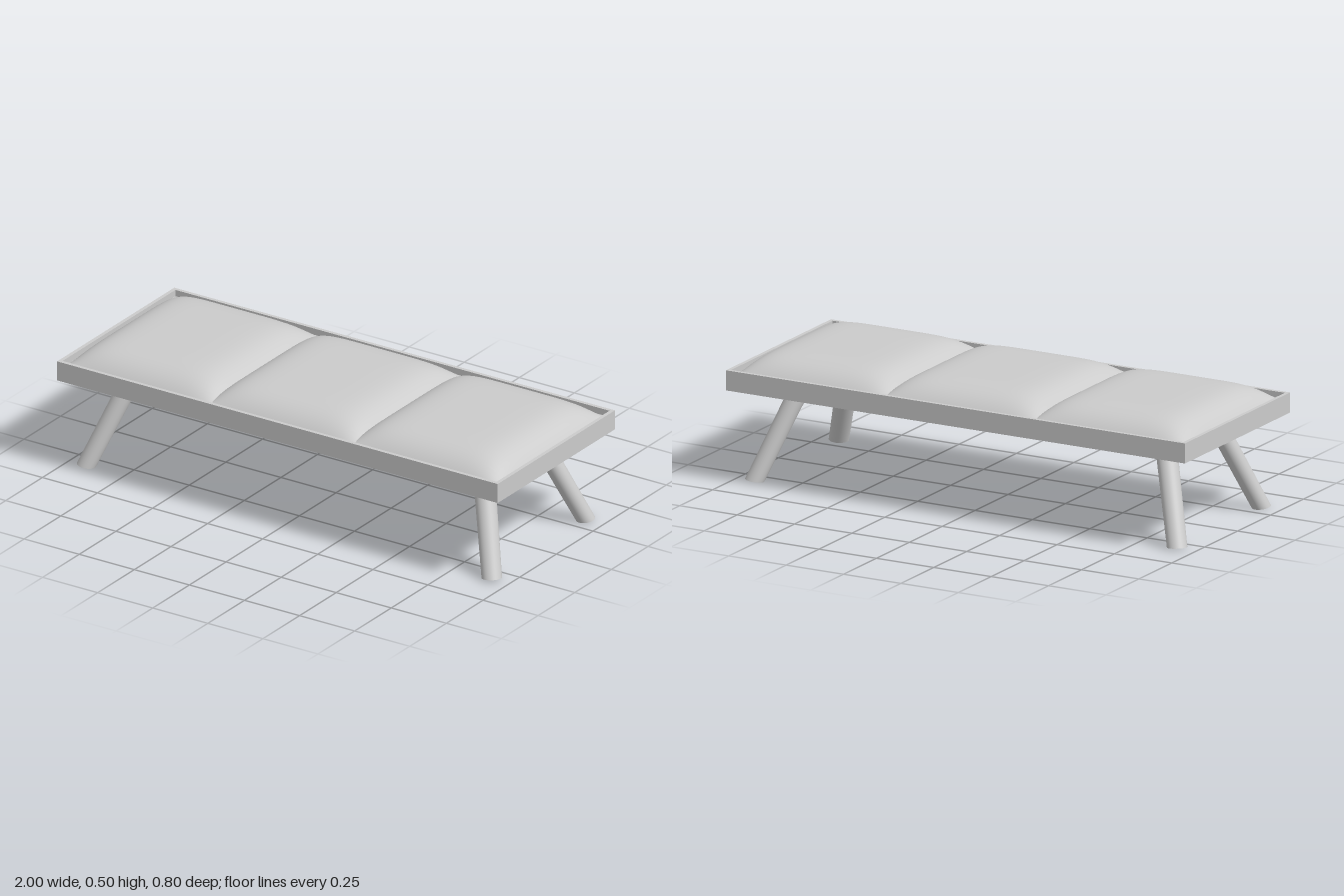
import * as THREE from 'three';

const material = new THREE.MeshStandardMaterial({ color: 0xcccccc });
const BASE = 0.367, RIM = 0.446, FLOOR = 0.42, TOP = 0.503, WALL = 0.015;

function addMesh(parent, name, geometry) {
  const mesh = new THREE.Mesh(geometry, material);
  mesh.name = name;
  parent.add(mesh);
  return mesh;
}

function rectangle(PathType, hx, hy) {
  return new PathType([[-hx, -hy], [hx, -hy], [hx, hy], [-hx, hy]].map(([x, y]) => new THREE.Vector2(x, y)));
}

// Puffed cushion: flat in the middle, rolling down to its edges; seam sides stay a little higher
function cushionGeometry(x0, x1, hz, seamLeft, seamRight) {
  const geometry = new THREE.PlaneGeometry(2, 2, 40, 32).rotateX(-Math.PI / 2);
  const p = geometry.attributes.position;
  const puff = (t, floor) => floor + (1 - floor) * (1 - Math.abs(t) ** 6);
  for (let i = 0; i < p.count; i++) {
    const u = Math.sin(p.getX(i) * Math.PI / 2), v = Math.sin(p.getZ(i) * Math.PI / 2);
    const seam = u < 0 ? seamLeft : seamRight;
    const y = FLOOR + (TOP - FLOOR) * puff(u, seam ? 0.38 : 0) * puff(v, 0);
    p.setXYZ(i, (x0 + x1) / 2 + u * (x1 - x0) / 2, y, v * hz);
  }
  geometry.computeVertexNormals();
  return geometry;
}

// Splayed leg: a cylinder sheared outward, with a slightly tilted foot
function legGeometry(sx, sz) {
  const height = 0.38;
  const geometry = new THREE.CylinderGeometry(0.042, 0.039, height, 32).translate(0, height / 2, 0);
  const p = geometry.attributes.position;
  for (let i = 0; i < p.count; i++) {
    const x = p.getX(i), z = p.getZ(i);
    let y = p.getY(i);
    if (y < 0.01) y = 0.006 + 0.09 * (x * sx + z * sz);
    p.setXYZ(i, x + sx * (0.922 - 0.355 * y), y, z + sz * (0.322 - 0.38 * y));
  }
  // Shear the normals to match, keeping the side smooth across its wrap
  const n = geometry.attributes.normal;
  for (let i = 0; i < n.count; i++) {
    const nx = n.getX(i), ny = n.getY(i), nz = n.getZ(i);
    const v = new THREE.Vector3(nx, ny + 0.355 * sx * nx + 0.38 * sz * nz, nz).normalize();
    if (Math.abs(ny) < 0.9) n.setXYZ(i, v.x, v.y, v.z);
  }
  return geometry;
}

export function createModel() {
  const bench = new THREE.Group();
  bench.name = 'bench';

  // Shallow tray: rim and floor
  const rim = rectangle(THREE.Shape, 1, 0.4);
  rim.holes.push(rectangle(THREE.Path, 1 - WALL, 0.4 - WALL));
  const rimGeometry = new THREE.ExtrudeGeometry(rim, { depth: RIM - BASE, bevelEnabled: false });
  addMesh(bench, 'frameRim', rimGeometry.rotateX(-Math.PI / 2).translate(0, BASE, 0));
  const floor = new THREE.BoxGeometry(2 - 2 * WALL, FLOOR - BASE, 0.8 - 2 * WALL);
  addMesh(bench, 'frameFloor', floor.translate(0, (FLOOR + BASE) / 2, 0));

  // Three cushions meeting at two seams
  const edges = [-0.983, -0.325, 0.325, 0.983];
  ['rightCushion', 'middleCushion', 'leftCushion'].forEach((name, i) => {
    addMesh(bench, name, cushionGeometry(edges[i], edges[i + 1], 0.382, i > 0, i < 2));
  });

  // Four legs
  for (const [sx, side] of [[1, 'Left'], [-1, 'Right']]) {
    for (const [sz, end] of [[1, 'front'], [-1, 'back']]) {
      addMesh(bench, `${end}${side}Leg`, legGeometry(sx, sz));
    }
  }
  return bench;
}
